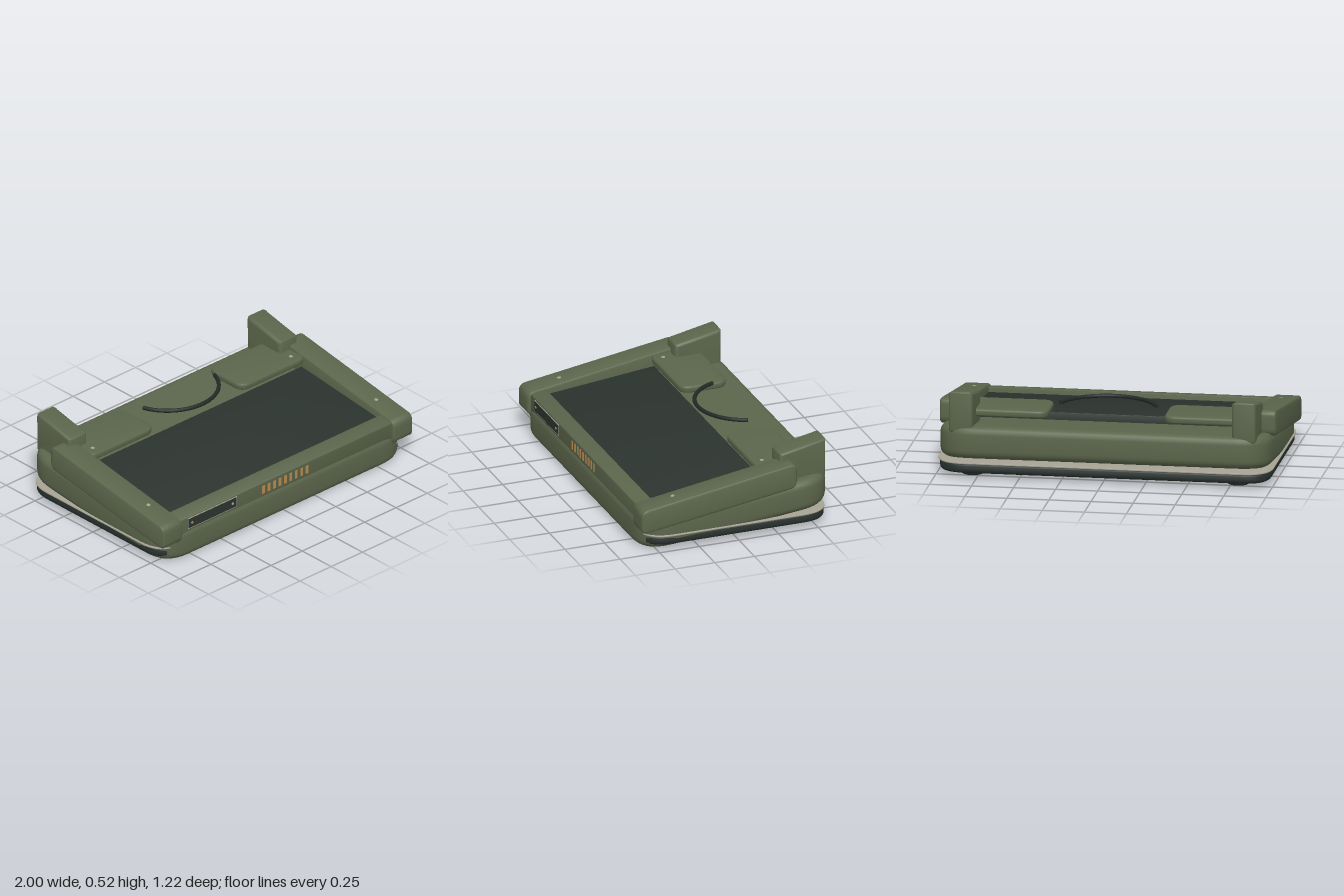
import * as THREE from 'three';
import { toCreasedNormals } from 'three/addons/utils/BufferGeometryUtils.js';

const mat = (name, color) => {
  const m = new THREE.MeshStandardMaterial({ color });
  m.name = name;
  return m;
};

// Polygon with every corner rounded off
function roundedShape(points, radius) {
  const pts = points.map(p => new THREE.Vector2(...p));
  const shape = new THREE.Shape();
  pts.forEach((p, i) => {
    const prev = pts[(i + pts.length - 1) % pts.length];
    const next = pts[(i + 1) % pts.length];
    const a = p.clone().add(prev.clone().sub(p).setLength(radius));
    const b = p.clone().add(next.clone().sub(p).setLength(radius));
    if (i === 0) shape.moveTo(a.x, a.y); else shape.lineTo(a.x, a.y);
    shape.quadraticCurveTo(p.x, p.y, b.x, b.y);
  });
  shape.closePath();
  return shape;
}

// Extrusion of the given total depth, centred on its own axis, with round bevels
function extrude(shape, depth, bevel) {
  const g = new THREE.ExtrudeGeometry(shape, {
    depth: depth - 2 * bevel, bevelEnabled: true, bevelThickness: bevel, bevelSize: bevel,
    bevelOffset: -bevel, bevelSegments: 5, curveSegments: 10,
  });
  return g.translate(0, 0, bevel - depth / 2);
}

// Slab with a rounded plan; slope raises it towards the back
function slab(x0, x1, z0, z1, y0, y1, radius, bevel, slope = 0) {
  const w = (x1 - x0) / 2, d = (z1 - z0) / 2;
  const g = extrude(roundedShape([[-w, -d], [w, -d], [w, d], [-w, d]], radius), y1 - y0, bevel);
  g.rotateX(-Math.PI / 2).translate((x0 + x1) / 2, (y0 + y1) / 2, (z0 + z1) / 2);
  const p = g.attributes.position;
  for (let i = 0; i < p.count; i++) p.setY(i, p.getY(i) - slope * p.getZ(i));
  return toCreasedNormals(g, 0.6);
}

// Side profile of [z, y] points, extruded across x
function sideProfile(points, radius, x, width, bevel) {
  const g = extrude(roundedShape(points, radius), width, bevel);
  return toCreasedNormals(g.rotateY(-Math.PI / 2).translate(x, 0, 0), 0.6);
}

export function createModel() {
  const model = new THREE.Group();
  const green = mat('olive shell', 0x5b654b);
  const screenDark = mat('dark screen', 0x2b332e);
  const trayDark = mat('dark tray', 0x27302d);
  const rubber = mat('black rubber', 0x222927);
  const seamGrey = mat('pale seam', 0xa6a394);
  const copper = mat('copper', 0xb98a4c);

  const add = (name, geometry, material) => {
    const mesh = new THREE.Mesh(geometry, material);
    mesh.name = name;
    model.add(mesh);
    return mesh;
  };
  const box = (w, h, d, x, y, z) => new THREE.BoxGeometry(w, h, d).translate(x, y, z);

  // Base tray, pale seam and sloping shell
  add('baseTray', slab(-0.985, 0.985, -0.588, 0.58, 0.035, 0.092, 0.17, 0.02), trayDark);
  add('seam', slab(-0.995, 0.995, -0.592, 0.582, 0.091, 0.1, 0.18, 0.003), seamGrey);
  add('shell', slab(-0.985, 0.985, -0.607, 0.597, 0.062, 0.258, 0.21, 0.05, 0.106), green);

  // Screen and the front bezel before it
  add('screen', slab(-0.85, 0.85, -0.19, 0.5, 0.23, 0.304, 0.01, 0.004, 0.106), screenDark);
  add('frontBezel', sideProfile(
    [[0.588, 0.12], [0.588, 0.268], [0.49, 0.284], [0.49, 0.12]], 0.008, 0, 1.74, 0.004), green);

  // Name plate without lettering, and its two pins
  add('plateRim', box(0.39, 0.07, 0.006, -0.59, 0.223, 0.588), seamGrey);
  add('plate', box(0.38, 0.06, 0.008, -0.59, 0.223, 0.589), screenDark);
  for (const [x, m] of [[-0.755, copper], [-0.43, seamGrey]]) {
    const pin = new THREE.CylinderGeometry(0.008, 0.008, 0.004, 12).rotateX(Math.PI / 2);
    add('platePin', pin.translate(x, 0.223, 0.594), m);
  }

  // Row of copper contacts
  for (let i = -4; i <= 4; i++) {
    add('contact', box(0.02, 0.052, 0.006, -0.005 + i * 0.0435, 0.219, 0.588), copper);
  }

  // Mirrored parts
  for (const s of [-1, 1]) {
    add('sideRail', sideProfile(
      [[0.61, 0.128], [0.61, 0.278], [-0.37, 0.433], [-0.37, 0.277]], 0.045, s * 0.922, 0.155, 0.015), green);
    add('rearPost', sideProfile(
      [[-0.293, 0.27], [-0.293, 0.467], [-0.585, 0.528], [-0.585, 0.28]], 0.015, s * 0.842, 0.145, 0.022), green);
    const x0 = s > 0 ? 0.345 : -0.87;
    add('rearPad', slab(x0, x0 + 0.525, -0.462, -0.165, 0.35, 0.395, 0.07, 0.015), green);

    // Screws on the rail and pad
    const screw = () => new THREE.CylinderGeometry(0.012, 0.012, 0.004, 14);
    add('railScrew', screw().rotateX(0.157).translate(s * 0.912, 0.314, 0.385), seamGrey);
    add('padScrew', screw().translate(s * 0.793, 0.396, -0.225), seamGrey);

    // Feet with softened rims
    for (const z of [0.43, -0.44]) {
      const profile = [[0, 0.003], [0.058, 0.003], [0.067, 0.008], [0.07, 0.016], [0.07, 0.04], [0, 0.04]]
        .map(p => new THREE.Vector2(...p));
      add('foot', toCreasedNormals(new THREE.LatheGeometry(profile, 28), 0.6).translate(s * 0.79, 0, z), rubber);
    }
  }

  // Curved cord handle floating between the pads
  const arc = [];
  for (let i = 0; i <= 12; i++) {
    const a = (i / 12 - 0.5) * 2 * 1.23;
    arc.push(new THREE.Vector3(Math.sin(a) * 0.303, 0.423, -0.437 + Math.cos(a) * 0.303));
  }
  const curve = new THREE.CatmullRomCurve3(arc);
  add('cordHandle', new THREE.TubeGeometry(curve, 48, 0.012, 10), rubber);
  for (const [p, sign] of [[arc[0], -1], [arc[12], 1]]) {
    const cap = new THREE.CircleGeometry(0.012, 10).rotateY(sign * (Math.PI / 2 + 1.23));
    const mesh = add('cordEnd', cap.translate(p.x, p.y, p.z), rubber);
    mesh.material.side = THREE.DoubleSide;
  }
  return model;
}
